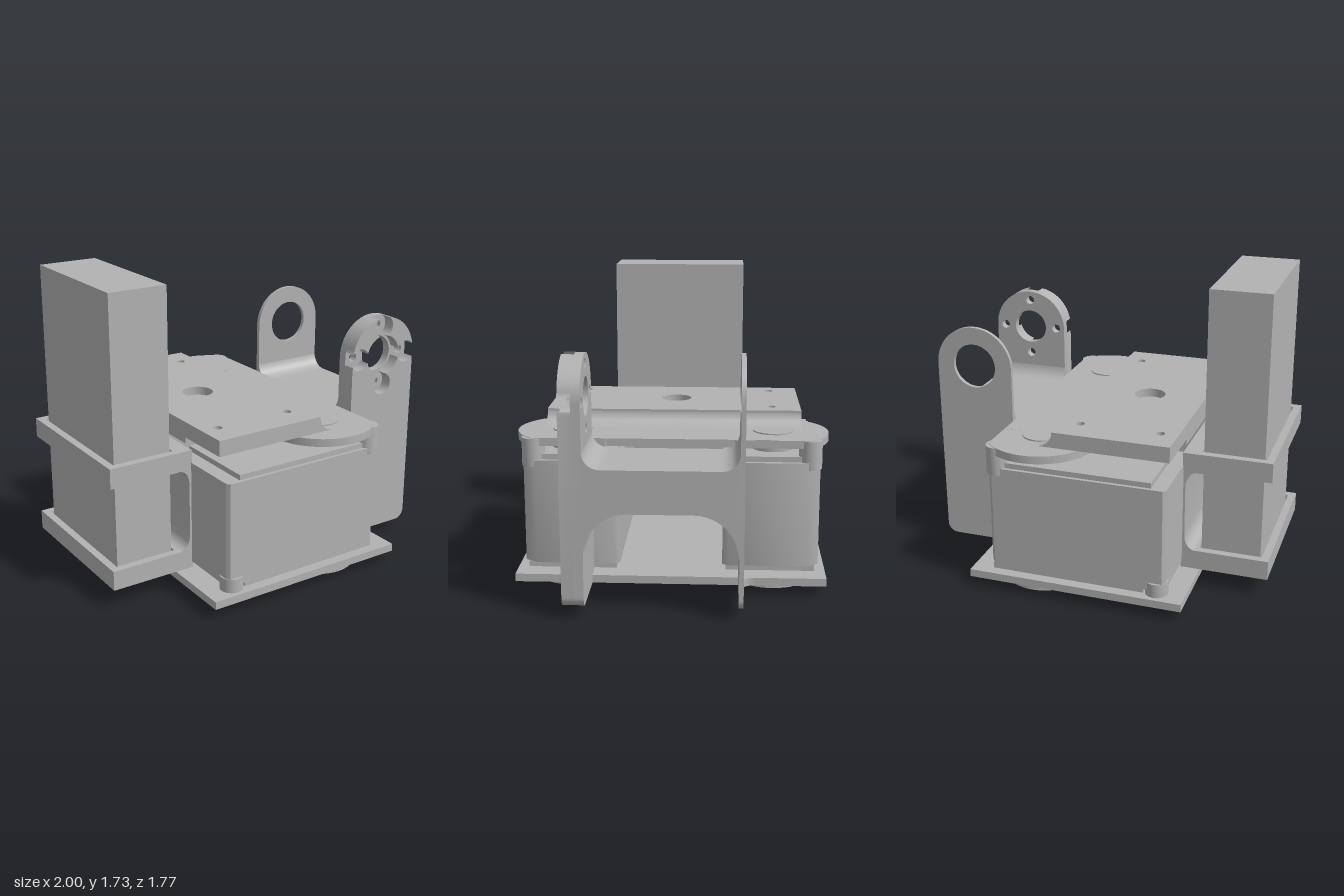
import * as THREE from 'three';
import { toCreasedNormals } from 'three/addons/utils/BufferGeometryUtils.js';

const PI = Math.PI, DEG = PI / 180;

export function createModel() {
  const model = new THREE.Group();
  const grey = new THREE.MeshStandardMaterial({ color: 0xb2b2b2 });
  grey.name = 'plain grey';

  const add = (name, geo) => {
    const mesh = new THREE.Mesh(toCreasedNormals(geo, 0.6), grey);
    mesh.name = name;
    model.add(mesh);
    return mesh;
  };
  const box = (name, x0, x1, y0, y1, z0, z1) =>
    add(name, new THREE.BoxGeometry(x1 - x0, y1 - y0, z1 - z0)
      .translate((x0 + x1) / 2, (y0 + y1) / 2, (z0 + z1) / 2));
  const extrude = (shape, depth) =>
    new THREE.ExtrudeGeometry(shape, { depth, bevelEnabled: false, curveSegments: 20 });
  // shape drawn in x-z, x-y or z-y
  const slab = (name, shape, y0, y1) =>
    add(name, extrude(shape, y1 - y0).rotateX(PI / 2).translate(0, y1, 0));
  const wall = (name, shape, z0, z1) => add(name, extrude(shape, z1 - z0).translate(0, 0, z0));
  const bar = (name, shape, x0, x1) =>
    add(name, extrude(shape, x1 - x0).rotateY(-PI / 2).translate(x1, 0, 0));
  const poly = (pts) => new THREE.Shape(pts.map(([a, b]) => new THREE.Vector2(a, b)));
  const rect = (x0, x1, y0, y1) => poly([[x0, y0], [x1, y0], [x1, y1], [x0, y1]]);
  const disc = (x, y, r) => new THREE.Shape().absarc(x, y, r, 0, PI * 2, false);
  const drill = (shape, r, list) => {
    for (const [x, y] of list) shape.holes.push(new THREE.Path().absarc(x, y, r, 0, PI * 2, true));
    return shape;
  };

  // base plate with fillets running into the bracket walls
  const base = poly([[-0.61, -0.87], [0.63, -0.87], [0.63, -0.48]]);
  base.quadraticCurveTo(0.63, -0.405, 0.7, -0.405);
  base.lineTo(0.7, -0.38);
  base.lineTo(0.63, -0.38);
  base.lineTo(0.63, 0.435);
  base.lineTo(0.71, 0.435);
  base.lineTo(0.71, 0.55);
  base.quadraticCurveTo(0.63, 0.55, 0.63, 0.63);
  base.lineTo(0.63, 0.87);
  base.lineTo(-0.61, 0.87);
  drill(base, 0.027, [[-0.45, -0.78], [-0.45, -0.36], [-0.45, 0.36], [-0.45, 0.78]]);
  slab('basePlate', base, 0.06, 0.105);

  // two servo units, mirrored front to back
  for (const s of [1, -1]) {
    const zc = 0.572 * s;
    const ring = [0, 1, 2, 3].map((i) => [0.282 + 0.15 * Math.cos(i * PI / 2), zc + 0.15 * Math.sin(i * PI / 2)]);
    slab('bottomHorn', drill(disc(0.282, zc, 0.235), 0.02, ring), 0, 0.06);
    const body = poly([[-0.49, 0.29], [0.515, 0.29], [0.535, 0.32], [0.535, 0.76], [0.49, 0.83],
      [-0.49, 0.83], [-0.505, 0.81], [-0.505, 0.31]].map(([x, z]) => [x, z * s]));
    slab('servoBody', body, 0.14, 0.74);
    box('servoLowerCover', -0.38, 0.51, 0.105, 0.14, s * 0.56 - 0.25, s * 0.56 + 0.25);
    box('servoUpperCover', -0.42, 0.51, 0.74, 0.77, s * 0.56 - 0.25, s * 0.56 + 0.25);
    slab('servoHorn', disc(0.285, zc, 0.125), 0.77, 0.82);
    for (const z of [0.36, 0.78]) {
      slab('lowerScrewBoss', drill(disc(-0.45, z * s, 0.065), 0.025, [[-0.45, z * s]]), 0.105, 0.185);
    }
    slab('upperScrewBoss', drill(disc(0.47, 0.775 * s, 0.065), 0.025, [[0.47, 0.775 * s]]), 0.7, 0.862);

    // round end of the top arm, cut flat towards the bracket
    const cut = Math.acos(0.235 / 0.315);
    slab('armDisc', new THREE.Shape().absarc(0.285, zc, 0.315, cut, PI * 2 - cut, false), 0.82, 0.865);
    slab('armCap', disc(0.285, zc, 0.115), 0.86, 0.873);
  }

  // arm joining both servo horns
  box('armBridge', 0.08, 0.515, 0.822, 0.866, -0.57, 0.57);
  const rib = poly([[-0.5, 0.866], [-0.5, 0.83], [-0.2, 0.825], [0.1, 0.822], [0.1, 0.866]]);
  wall('armRib', rib, -0.4, 0.4);

  // top plate with countersunk centre hole
  const small = [[-0.4, -0.57], [0.06, -0.57], [-0.4, 0.57], [0.06, 0.57]];
  slab('topPlateLower', drill(rect(-0.5, 0.165, -0.74, 0.74), 0.025, [...small, [-0.17, 0]]), 0.865, 0.905);
  const upper = drill(rect(-0.5, 0.165, -0.74, 0.74), 0.025, small);
  slab('topPlateUpper', drill(upper, 0.09, [[-0.17, 0]]), 0.905, 0.955);
  const fillet = poly([[0.165, 0.865], [0.26, 0.865]]);
  fillet.quadraticCurveTo(0.18, 0.868, 0.165, 0.94);
  wall('topPlateFillet', fillet, -0.74, 0.74);

  // battery standing in two frames
  box('battery', -0.945, -0.605, 0.115, 1.73, -0.405, 0.405);
  for (const y of [0.105, 0.7]) {
    const frame = rect(-1, -0.52, -0.465, 0.465);
    frame.holes.push(rect(-0.957, -0.595, -0.42, 0.42));
    slab('batteryFrame', frame, y, y + 0.113);
  }
  const web = poly([[-0.5, 0.105], [-0.5, 0.813], [-0.59, 0.813], [-0.59, 0.702]]);
  web.quadraticCurveTo(-0.52, 0.7, -0.517, 0.61);
  web.lineTo(-0.517, 0.31);
  web.quadraticCurveTo(-0.52, 0.22, -0.59, 0.216);
  web.lineTo(-0.59, 0.105);
  wall('batteryFrameWeb', web, -0.465, 0.465);

  // bracket walls: tall tabs with a round head
  const cx = 0.77, cy = 1.16, R = 0.23;
  const tab = () => {
    const t = new THREE.Shape().moveTo(0.54, 0.06);
    t.lineTo(0.94, 0.06);
    t.absarc(0.94, 0.12, 0.06, -PI / 2, 0, false);
    t.lineTo(1, cy);
    t.absarc(cx, cy, R, 0, PI, false);
    return t;
  };
  const bores = [0, 1, 2, 3].map((i) => [cx + 0.175 * Math.cos(i * PI / 2), cy + 0.175 * Math.sin(i * PI / 2)]);
  wall('bracketBackWall', drill(tab(), 0.13, [[cx, cy]]), -0.405, -0.38);
  wall('bracketFrontWall', drill(drill(tab(), 0.105, [[cx, cy]]), 0.027, bores), 0.435, 0.485);

  // outer layer of the front wall, cut through by four counterbores
  const sweep = (x, y, r, a, b) => {
    const pts = [];
    for (let i = 0; i <= 12; i++) {
      const t = (a + (b - a) * i / 12) * DEG;
      pts.push([x + r * Math.cos(t), y + r * Math.sin(t)]);
    }
    return pts;
  };
  const bore = (k, a, b) => sweep(bores[k][0], bores[k][1], 0.065, k * 90 + a, k * 90 + b);
  for (const k of [0, 1]) {
    wall('bracketHeadSegment', poly([
      ...sweep(cx, cy, R, k * 90 + 9.9, k * 90 + 80.1),
      ...bore(k + 1, -37.4, -154),
      ...sweep(cx, cy, 0.12, k * 90 + 76.2, k * 90 + 13.8),
      ...bore(k, 154, 37.4),
    ]), 0.485, 0.553);
  }
  wall('bracketFrontFace', poly([
    ...bore(0, -37.4, -154),
    ...sweep(cx, cy, 0.12, -13.8, -76.2),
    ...bore(3, 154, -154),
    ...sweep(cx, cy, 0.12, -103.8, -166.2),
    ...bore(2, 154, 37.4),
    [0.54, 1.1], [0.54, 0.06],
    ...sweep(0.94, 0.12, 0.06, -90, 0),
    [1, 1.1],
  ]), 0.485, 0.553);

  // arched bridge between the bracket walls
  const arch = new THREE.Shape().moveTo(0.44, 0.35);
  arch.lineTo(0.44, 0.93);
  arch.quadraticCurveTo(0.43, 0.82, 0.33, 0.82);
  arch.lineTo(-0.28, 0.82);
  arch.quadraticCurveTo(-0.375, 0.82, -0.385, 0.93);
  arch.lineTo(-0.385, 0.35);
  arch.lineTo(-0.375, 0.35);
  arch.absarc(-0.14, 0.35, 0.235, PI, PI / 2, true);
  arch.absarc(0.2, 0.35, 0.235, PI / 2, 0, true);
  bar('bracketBridge', arch, 0.54, 1);

  return model;
}
